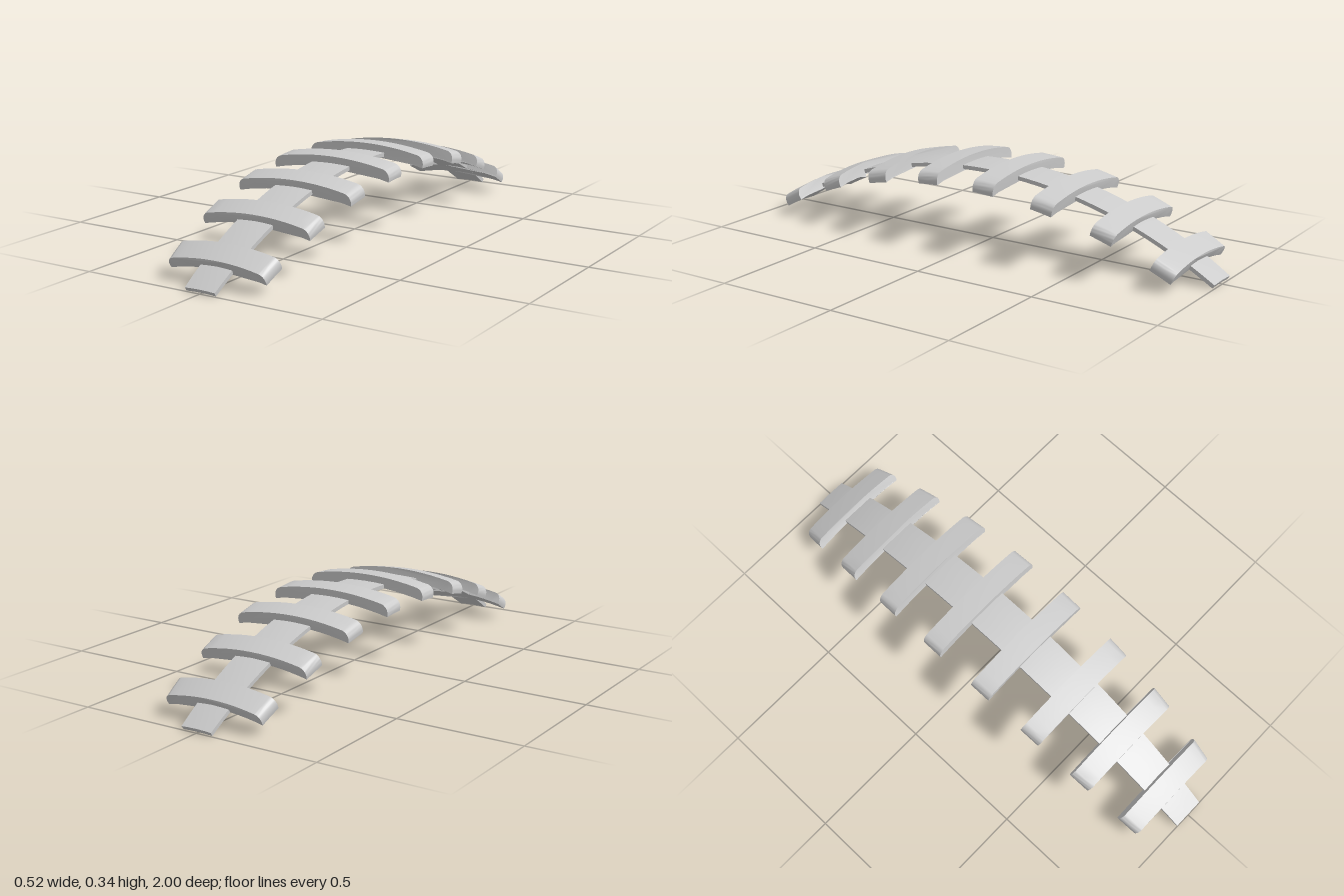
import * as THREE from 'three';
import { toCreasedNormals } from 'three/addons/utils/BufferGeometryUtils.js';

const ARC = 1.83;      // radius of the lengthwise arch
const GIRTH = 1.15;    // radius of the crosswise curve at the middle
const CREST = 0.294;   // height of the underside at the middle

// Lay a flat geometry (x = cross angle, y = height, z = arch angle) on the curved body.
function wrap(geometry) {
  const p = geometry.attributes.position;
  for (let i = 0; i < p.count; i++) {
    const u = p.getX(i), h = p.getY(i), a = p.getZ(i);
    const r = GIRTH - ARC + (ARC + h) * Math.cos(a);
    p.setXYZ(i, r * Math.sin(u), r * Math.cos(u) - GIRTH + CREST, (ARC + h) * Math.sin(a));
  }
  return toCreasedNormals(geometry, 0.6);
}

// Strip cross-section, with its upper corners rounded when ru and rh are given.
function section(half, height, ru, rh, n) {
  const pts = [];
  for (let i = 0; i <= n; i++) pts.push(new THREE.Vector2(-half + (2 * half * i) / n, 0));
  const corner = ru > 0 ? 8 : 0;
  for (let i = 0; i <= corner; i++) {
    const t = corner ? (i / corner) * Math.PI / 2 : 0;
    pts.push(new THREE.Vector2(half - ru + ru * Math.cos(t), height - rh + rh * Math.sin(t)));
  }
  const top = half - ru;
  for (let i = 1; i < n; i++) pts.push(new THREE.Vector2(top - (2 * top * i) / n, height));
  for (let i = corner; i >= 0; i--) {
    const t = corner ? (i / corner) * Math.PI / 2 : 0;
    pts.push(new THREE.Vector2(-half + ru - ru * Math.cos(t), height - rh + rh * Math.sin(t)));
  }
  return new THREE.Shape(pts);
}

function strip(name, shape, centre, halfLength, steps, material) {
  const g = new THREE.ExtrudeGeometry(shape, { depth: 2 * halfLength, steps, bevelEnabled: false });
  g.translate(0, 0, centre - halfLength);
  const mesh = new THREE.Mesh(wrap(g), material);
  mesh.name = name;
  return mesh;
}

export function createModel() {
  const group = new THREE.Group();
  group.name = 'archedRibStrip';
  const material = new THREE.MeshStandardMaterial({ color: 0xcccccc });

  // Long thin band running over the arch
  group.add(strip('spine', section(0.0738, 0.016, 0, 0, 4), 0, 0.5724, 40, material));

  // Eight evenly spaced cross bars with rounded shoulders
  const bar = section(0.227, 0.043, 0.031, 0.037, 12);
  for (let i = 0; i < 8; i++) {
    group.add(strip('crossBar' + (i + 1), bar, (i - 3.5) * 0.139, 0.0245, 2, material));
  }
  return group;
}
